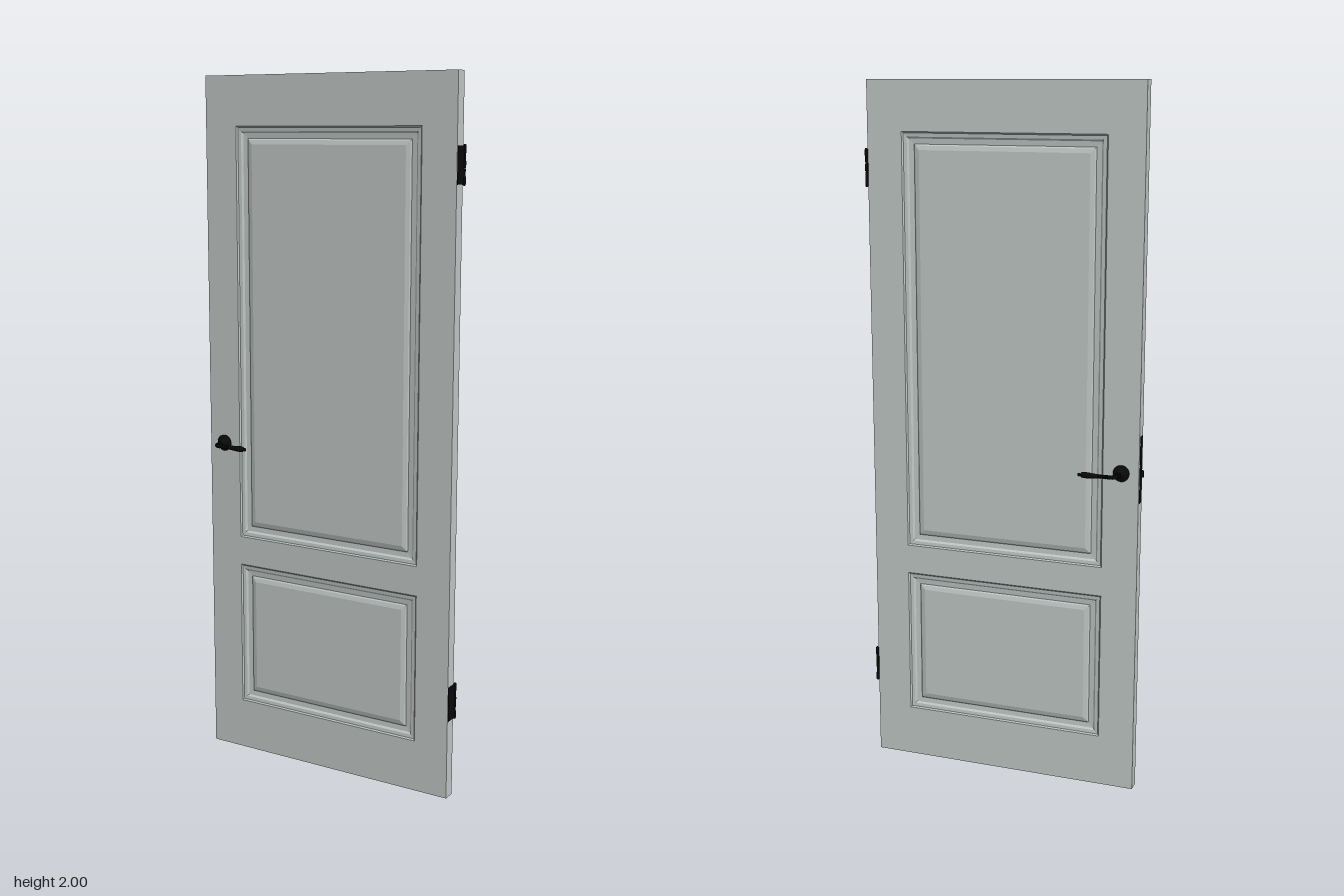
import * as THREE from 'three';

const X0 = -0.398, X1 = 0.401, ZB = -0.0195, ZF = 0.0150, ZC = (ZB + ZF) / 2;
const PANELS = [[-0.295, 0.665, 0.298, 1.86], [-0.295, 0.15, 0.298, 0.58]];
const paint = new THREE.MeshStandardMaterial({ color: 0xc3cbc9 });
const iron = new THREE.MeshStandardMaterial({ color: 0x0a0a0a });

function add(parent, name, geometry, material, x = 0, y = 0, z = 0) {
  const mesh = new THREE.Mesh(geometry, material);
  mesh.name = name;
  mesh.position.set(x, y, z);
  parent.add(mesh);
  return mesh;
}

function rectPoints([x0, y0, x1, y1], inset = 0) {
  return [[x0 + inset, y0 + inset], [x1 - inset, y0 + inset], [x1 - inset, y1 - inset], [x0 + inset, y1 - inset]];
}

// Moulded panel: nested rectangles stepping inwards, [inset, depth]
const MOULDING = [[0, 0], [0.004, -0.004], [0.014, -0.005], [0.019, -0.009], [0.034, -0.010], [0.038, -0.007], [0.050, -0.004]];
function panelGeometry(rect) {
  const pos = [];
  const loops = MOULDING.map(([inset, d]) => rectPoints(rect, inset).map(([x, y]) => [x, y, d]));
  const quad = (a, b, c, d) => pos.push(...a, ...b, ...c, ...a, ...c, ...d);
  for (let i = 0; i < loops.length - 1; i++) {
    for (let k = 0; k < 4; k++) {
      const n = (k + 1) % 4;
      quad(loops[i][k], loops[i][n], loops[i + 1][n], loops[i + 1][k]);
    }
  }
  quad(...loops[loops.length - 1]);
  const g = new THREE.BufferGeometry();
  g.setAttribute('position', new THREE.Float32BufferAttribute(pos, 3));
  g.computeVertexNormals();
  return g;
}

function lathe(points, segments = 24) {
  return new THREE.LatheGeometry(points.map(([r, h]) => new THREE.Vector2(r, h)), segments);
}

// Lever handle, built outwards along +z from the door face
function makeHandle() {
  const handle = new THREE.Group();
  handle.name = 'leverHandle';
  add(handle, 'rosette', lathe([[0, 0], [0.023, 0], [0.0235, 0.004], [0.021, 0.007], [0.017, 0.008],
    [0.016, 0.011], [0.012, 0.013], [0.010, 0.016], [0.0095, 0.021], [0.007, 0.023], [0, 0.023]]), iron)
    .rotation.x = Math.PI / 2;

  // Neck curving from the rosette into the lever
  const path = new THREE.CurvePath();
  path.add(new THREE.LineCurve3(new THREE.Vector3(0, 0, 0.018), new THREE.Vector3(0, 0, 0.034)));
  path.add(new THREE.QuadraticBezierCurve3(new THREE.Vector3(0, 0, 0.034),
    new THREE.Vector3(0.001, 0, 0.052), new THREE.Vector3(0.022, 0, 0.052)));
  path.add(new THREE.LineCurve3(new THREE.Vector3(0.022, 0, 0.052), new THREE.Vector3(0.055, 0, 0.052)));
  add(handle, 'neck', new THREE.TubeGeometry(path, 40, 0.0055, 12, false), iron);

  // Ribs along the neck
  for (let i = 0; i < 12; i++) {
    const t = 0.06 + i * 0.08;
    const rib = add(handle, 'neckRib', new THREE.TorusGeometry(0.0045, 0.0018, 6, 14), iron);
    rib.position.copy(path.getPointAt(t));
    rib.quaternion.setFromUnitVectors(new THREE.Vector3(0, 0, 1), path.getTangentAt(t));
  }

  // Swelling grip with a turned tip
  add(handle, 'grip', lathe([[0, 0], [0.0055, 0.001], [0.0065, 0.012], [0.0085, 0.034], [0.0085, 0.042],
    [0.0075, 0.049], [0.004, 0.051], [0.0035, 0.053], [0.005, 0.055], [0.0045, 0.059], [0, 0.060]], 18),
    iron, 0.050, 0, 0.052).rotation.z = -Math.PI / 2;
  return handle;
}

// Butt hinge: a leaf on the door edge and a knuckled barrel at the back
function makeHinge(y) {
  const hinge = new THREE.Group();
  hinge.name = 'hinge';
  hinge.position.set(X1, y, 0);
  add(hinge, 'hingeLeaf', new THREE.BoxGeometry(0.003, 0.1, 0.038), iron, 0.0005, 0, -0.006);
  for (let i = 0; i < 5; i++) {
    const r = i % 2 ? 0.0035 : 0.0045;
    add(hinge, 'hingeKnuckle', new THREE.CylinderGeometry(r, r, 0.0195, 14), iron, 0.0015, (i - 2) * 0.02, -0.0255);
  }
  for (const s of [-1, 1]) {
    add(hinge, 'hingePinCap', new THREE.SphereGeometry(0.004, 12, 8), iron, 0.0015, s * 0.05, -0.0255);
  }
  return hinge;
}

export function createModel() {
  const door = new THREE.Group();
  door.name = 'door';

  // Slab with openings for the panels
  const outline = new THREE.Shape(rectPoints([X0, 0, X1, 2]).map(p => new THREE.Vector2(...p)));
  for (const rect of PANELS) {
    outline.holes.push(new THREE.Path(rectPoints(rect).map(p => new THREE.Vector2(...p))));
  }
  add(door, 'doorFrame', new THREE.ExtrudeGeometry(outline, { depth: ZF - ZB, bevelEnabled: false }), paint, 0, 0, ZB);

  // Panels on both faces; the back ones are turned around the y axis
  for (const rect of PANELS) {
    add(door, 'frontPanel', panelGeometry(rect), paint, 0, 0, ZF);
    const [x0, y0, x1, y1] = rect;
    add(door, 'backPanel', panelGeometry([-x1, y0, -x0, y1]), paint, 0, 0, ZB).rotation.y = Math.PI;
  }

  // Handles on both faces, levers pointing to the hinge side
  for (const s of [1, -1]) {
    const handle = makeHandle();
    handle.position.set(-0.348, 0.945, s > 0 ? ZF : ZB);
    if (s < 0) handle.rotation.x = Math.PI;
    door.add(handle);
  }

  // Lock plate and wedge-shaped latch bolt on the free edge
  add(door, 'lockPlate', new THREE.BoxGeometry(0.002, 0.19, 0.02), iron, X0 - 0.0002, 0.955, ZC);
  const wedge = new THREE.Shape([[0, -0.006], [0, 0.006], [-0.005, 0.005], [-0.011, -0.003], [-0.010, -0.006]]
    .map(([x, z]) => new THREE.Vector2(x, -z)));
  add(door, 'latchBolt', new THREE.ExtrudeGeometry(wedge, { depth: 0.018, bevelEnabled: false }), iron, X0, 0.936, ZC)
    .rotation.x = -Math.PI / 2;

  door.add(makeHinge(1.76), makeHinge(0.28));
  return door;
}
